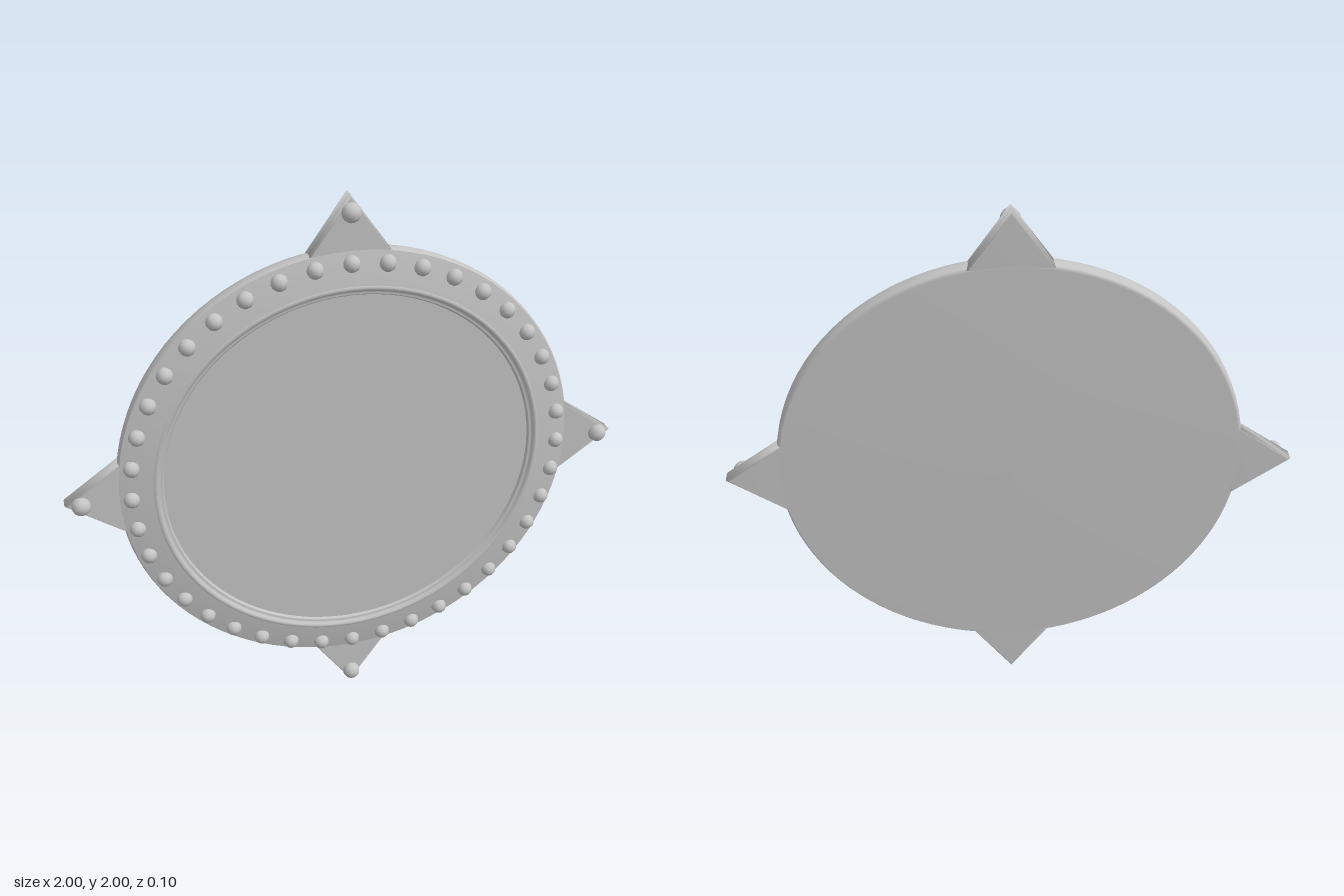
import * as THREE from 'three';
import { mergeVertices } from 'three/addons/utils/BufferGeometryUtils.js';

const SEGMENTS = 96;

// Lathe turned so that its axis points to the front (+z); points are [radius, z]
function turned(points) {
  const geo = new THREE.LatheGeometry(points.map(([r, z]) => new THREE.Vector2(r, z)), SEGMENTS);
  return geo.rotateX(Math.PI / 2);
}

// Triangular point aimed at +y, with softened edges
function spikeGeometry() {
  const shape = new THREE.Shape();
  shape.moveTo(-0.145, 0.795);
  shape.lineTo(0.145, 0.795);
  shape.lineTo(0, 1);
  shape.closePath();
  const bevel = 0.01;
  let geo = new THREE.ExtrudeGeometry(shape, {
    depth: 0.058 - 2 * bevel, bevelEnabled: true, bevelThickness: bevel,
    bevelSize: bevel, bevelOffset: -bevel, bevelSegments: 3,
  });
  geo.translate(0, 0, -0.048 + bevel);
  geo.deleteAttribute('normal');
  geo.deleteAttribute('uv');
  geo = mergeVertices(geo, 1e-4);
  geo.computeVertexNormals();
  return geo;
}

export function createModel() {
  const model = new THREE.Group();
  model.name = 'studdedRoundMirror';
  const grey = new THREE.MeshStandardMaterial({ color: 0xc4c4c4 });
  grey.name = 'plain grey';

  const add = (name, geo, parent = model) => {
    const mesh = new THREE.Mesh(geo, grey);
    mesh.name = name;
    parent.add(mesh);
    return mesh;
  };

  const disc = new THREE.Group();
  disc.name = 'disc';
  disc.position.y = 1;
  model.add(disc);

  // Back plate with a softly rounded rim
  add('backPlate', turned([
    [0, -0.053], [0.805, -0.05], [0.815, -0.04], [0.82, -0.02], [0.82, 0], [0.815, 0.01],
  ]), disc);

  // Sloping front ring, rising towards the middle
  add('frontRing', turned([[0.815, 0.01], [0.76, 0.023], [0.70, 0.033]]), disc);

  // Stepped inner lip around the glass
  add('outerLip', turned([[0.70, 0.033], [0.695, 0.036], [0.687, 0.036], [0.682, 0.03]]), disc);
  add('innerLip', turned([[0.682, 0.03], [0.678, 0.024], [0.672, 0.026], [0.667, 0.024], [0.663, 0.015]]), disc);

  // Flat glass
  const glass = add('glass', new THREE.CircleGeometry(0.665, SEGMENTS), disc);
  glass.position.z = 0.016;

  // Ring of studs
  const studGeo = new THREE.SphereGeometry(0.029, 10, 8);
  for (let i = 0; i < 40; i++) {
    const a = (i / 40) * Math.PI * 2;
    const stud = add('stud', studGeo, disc);
    stud.position.set(Math.cos(a) * 0.775, Math.sin(a) * 0.775, 0.022);
  }

  // Four spikes, each with a larger stud near its tip
  const spikeGeo = spikeGeometry();
  const tipStudGeo = new THREE.SphereGeometry(0.033, 10, 8);
  for (let i = 0; i < 4; i++) {
    const arm = new THREE.Group();
    arm.name = 'spikeArm';
    arm.rotation.z = i * Math.PI / 2;
    disc.add(arm);
    add('spike', spikeGeo, arm);
    add('tipStud', tipStudGeo, arm).position.set(0, 0.945, 0.016);
  }
  return model;
}
